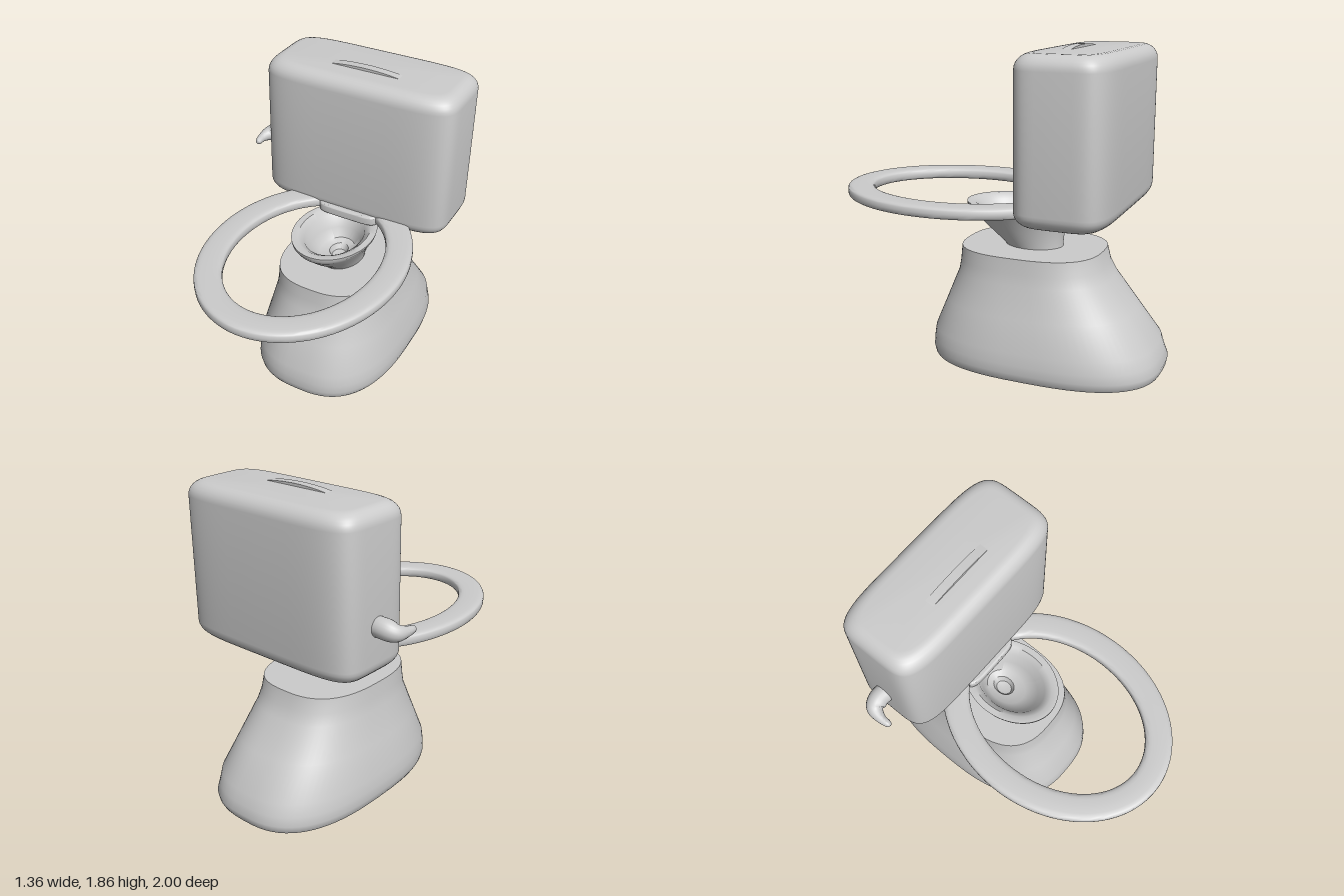
import * as THREE from 'three';
import { mergeVertices, toCreasedNormals } from 'three/addons/utils/BufferGeometryUtils.js';

const CX = 0.073; // shared centre line of tank, seat, bowl and base

// Skin over horizontal superellipse rings, each [y, halfX, centreZ, halfZ]
function loft(rings, power = 2, crease = 0.7, closed = false, seg = 72) {
  const pos = [], idx = [];
  const bend = (v) => Math.sign(v) * Math.pow(Math.abs(v), 2 / power);
  for (const [y, a, cz, b] of rings) {
    for (let j = 0; j < seg; j++) {
      const t = (j / seg) * Math.PI * 2;
      pos.push(CX + a * bend(Math.cos(t)), y, cz + b * bend(Math.sin(t)));
    }
  }
  const count = closed ? rings.length : rings.length - 1;
  for (let i = 0; i < count; i++) {
    const n = (i + 1) % rings.length;
    for (let j = 0; j < seg; j++) {
      const k = (j + 1) % seg;
      const a = i * seg + j, b = i * seg + k, c = n * seg + j, d = n * seg + k;
      idx.push(a, c, b, b, c, d);
    }
  }
  const geo = new THREE.BufferGeometry();
  geo.setAttribute('position', new THREE.Float32BufferAttribute(pos, 3));
  geo.setIndex(idx);
  return toCreasedNormals(mergeVertices(geo, 1e-5), crease);
}

// Closed block with rounded top and bottom edges
function pillow(y0, y1, a, cz, b, r, power) {
  const rings = [[y0, 0, cz, 0]], steps = 7;
  for (const [y, from] of [[y0 + r, -Math.PI / 2], [y1 - r, 0]]) {
    for (let i = 0; i <= steps; i++) {
      const t = from + (i / steps) * Math.PI / 2;
      const inset = r * (1 - Math.cos(t));
      rings.push([y + r * Math.sin(t), a - inset, cz, b - inset]);
    }
  }
  rings.push([y1, 0, cz, 0]);
  return loft(rings, power, 0.7, false, 96);
}

export function createModel() {
  const group = new THREE.Group();
  const material = new THREE.MeshStandardMaterial({ color: 0xcccccc });
  const add = (name, geo) => {
    const mesh = new THREE.Mesh(geo, material);
    mesh.name = name;
    group.add(mesh);
    return mesh;
  };

  // Flared foot, reaching further to the back
  add('base', loft([
    [0, 0, -0.3, 0],
    [0, 0.445, -0.298, 0.687],
    [0.015, 0.454, -0.298, 0.695],
    [0.05, 0.463, -0.298, 0.702],
    [0.1, 0.46, -0.29, 0.69],
    [0.17, 0.453, -0.284, 0.674],
    [0.35, 0.405, -0.252, 0.567],
    [0.53, 0.357, -0.22, 0.46],
    [0.6, 0.347, -0.207, 0.435],
    [0.685, 0.34, -0.2, 0.42],
    [0.685, 0, -0.2, 0],
  ], 2.7));

  // Bowl with a hollow and a small drain dip
  add('bowl', loft([
    [0.66, 0.13, -0.21, 0.165],
    [0.7, 0.14, -0.19, 0.18],
    [0.79, 0.175, -0.14, 0.24],
    [0.88, 0.22, -0.098, 0.297],
    [0.91, 0.24, -0.09, 0.31],
    [0.93, 0.245, -0.09, 0.312],
    [0.93, 0.205, -0.09, 0.27],
    [0.9, 0.17, -0.09, 0.225],
    [0.82, 0.145, -0.1, 0.19],
    [0.76, 0.1, -0.13, 0.13],
    [0.745, 0.055, -0.15, 0.07],
    [0.71, 0.04, -0.15, 0.05],
    [0.7, 0, -0.15, 0],
  ]));

  // Seat: elliptical ring with rounded edges
  const section = [];
  for (let i = 0; i < 24; i++) {
    const t = -Math.PI / 2 + (i / 24) * Math.PI * 2;
    const u = Math.sign(Math.cos(t)) * Math.pow(Math.abs(Math.cos(t)), 0.5) * 0.08;
    const v = Math.sign(Math.sin(t)) * Math.pow(Math.abs(Math.sin(t)), 0.5) * 0.035;
    section.push([0.966 + v, 0.506 + u, 0.26, 0.655 + u]);
  }
  add('seat', loft(section, 2, 0.9, true, 96));

  // Hinge joining the seat to the tank
  add('seatHinge', pillow(0.93, 0.99, 0.2, -0.32, 0.1, 0.012, 5));

  // Water tank and the plate beneath it
  add('tank', pillow(0.93, 1.84, 0.605, -0.52, 0.272, 0.085, 5.5));
  add('tankPlate', pillow(0.88, 0.96, 0.23, -0.525, 0.128, 0.012, 3));

  // Arched grip on top of the tank
  const arch = new THREE.Shape();
  arch.moveTo(-0.215, -0.02);
  arch.lineTo(-0.215, 0);
  arch.quadraticCurveTo(-0.13, 0.015, 0, 0.016);
  arch.quadraticCurveTo(0.13, 0.015, 0.215, 0);
  arch.lineTo(0.215, -0.02);
  const grip = add('lidGrip', new THREE.ExtrudeGeometry(arch, { depth: 0.053, bevelEnabled: false }));
  grip.position.set(CX, 1.84, -0.478);

  // Flush lever: a bent tube that tapers to a rounded tip
  const path = new THREE.CatmullRomCurve3([
    new THREE.Vector3(-0.5, 1.217, -0.522),
    new THREE.Vector3(-0.575, 1.217, -0.525),
    new THREE.Vector3(-0.63, 1.203, -0.505),
    new THREE.Vector3(-0.652, 1.197, -0.44),
    new THREE.Vector3(-0.647, 1.192, -0.368),
  ]);
  const rows = 32, sides = 20;
  const lever = new THREE.TubeGeometry(path, rows, 1, sides);
  const p = lever.attributes.position, v = new THREE.Vector3();
  for (let i = 0; i <= rows; i++) {
    const t = i / rows, c = path.getPointAt(t);
    const taper = THREE.MathUtils.lerp(0.058, 0.026, THREE.MathUtils.smoothstep(t, 0.3, 0.85));
    const r = taper * Math.sqrt(Math.max(0, 1 - Math.pow(t, 12)));
    for (let j = 0; j <= sides; j++) {
      const k = i * (sides + 1) + j;
      v.fromBufferAttribute(p, k).sub(c).multiplyScalar(r).add(c);
      p.setXYZ(k, v.x, v.y, v.z);
    }
  }
  lever.deleteAttribute('uv');
  lever.deleteAttribute('normal');
  add('flushLever', toCreasedNormals(mergeVertices(lever, 1e-5), 1.2));

  return group;
}
